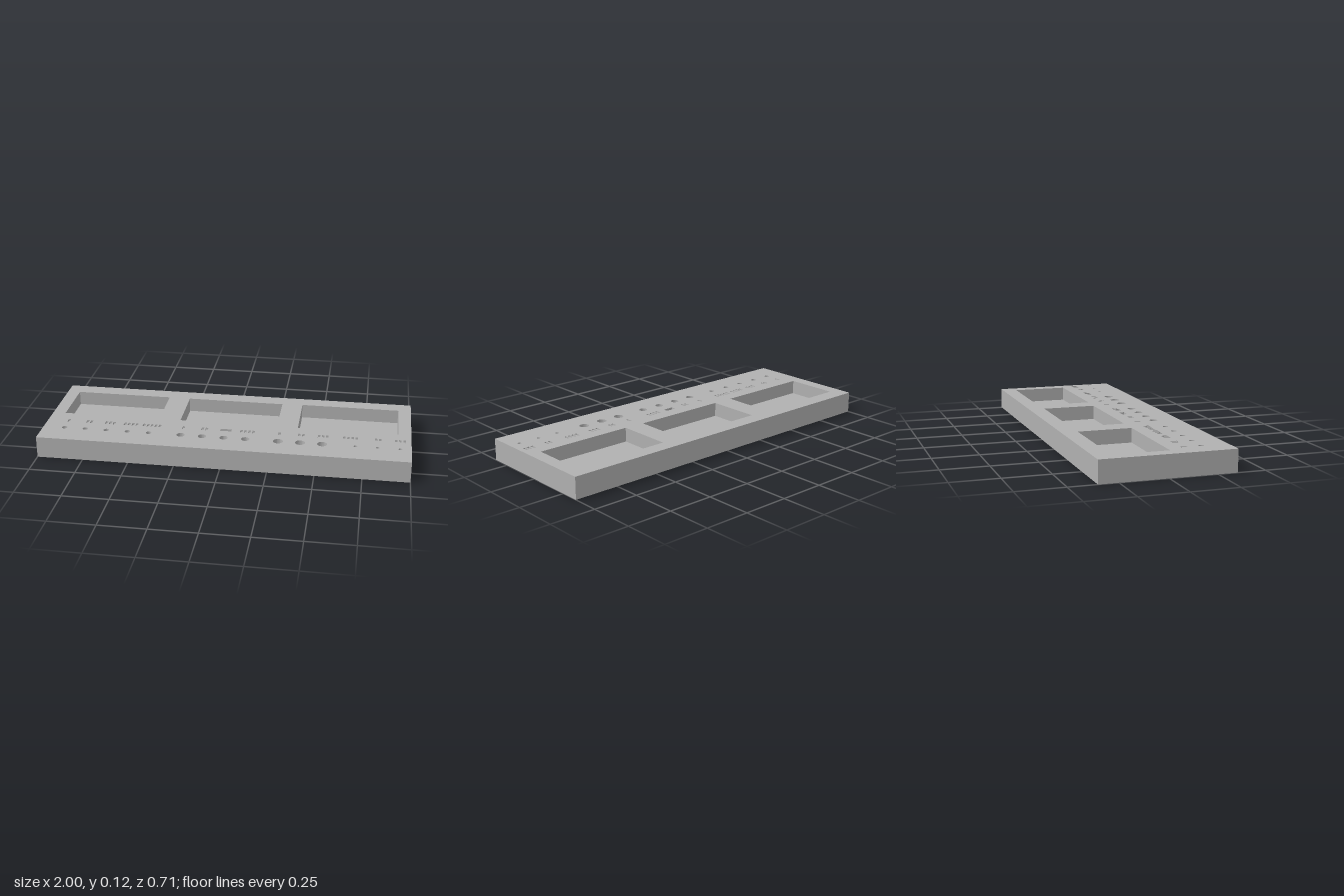
import * as THREE from 'three';
import { mergeGeometries } from 'three/addons/utils/BufferGeometryUtils.js';

const W = 1, D = 0.353, H = 0.118;

// Outlines are plan points (x, -z), counter-clockwise seen from above
const rect = (x0, x1, z0, z1) => [[x0, z1], [x1, z1], [x1, z0], [x0, z0]]
  .map(([x, z]) => new THREE.Vector2(x, -z));
const circle = (x, z, r, n = 20) => Array.from({ length: n }, (_, i) => {
  const a = (i / n) * Math.PI * 2;
  return new THREE.Vector2(x + r * Math.cos(a), r * Math.sin(a) - z);
});

// Flat horizontal face with holes, facing up or down
function cap(outline, holes, y, down = false) {
  const flip = (pts) => pts.map((p) => new THREE.Vector2(p.x, down ? -p.y : p.y));
  const shape = new THREE.Shape(flip(outline));
  shape.holes = holes.map((h) => new THREE.Path(flip(h)));
  return new THREE.ShapeGeometry(shape)
    .rotateX(down ? Math.PI / 2 : -Math.PI / 2).translate(0, y, 0).toNonIndexed();
}

// Vertical band along an outline, facing outward or inward
function wall(outline, y0, y1, inward = false) {
  const pts = inward ? [...outline].reverse() : outline;
  const pos = [], uv = [];
  pts.forEach((p, i) => {
    const q = pts[(i + 1) % pts.length];
    const a = [p.x, y0, -p.y], b = [q.x, y0, -q.y], c = [q.x, y1, -q.y], d = [p.x, y1, -p.y];
    pos.push(...a, ...b, ...c, ...a, ...c, ...d);
    uv.push(0, 0, 1, 0, 1, 1, 0, 0, 1, 1, 0, 1);
  });
  const g = new THREE.BufferGeometry();
  g.setAttribute('position', new THREE.Float32BufferAttribute(pos, 3));
  g.setAttribute('uv', new THREE.Float32BufferAttribute(uv, 2));
  g.computeVertexNormals();
  return g;
}

export function createModel() {
  const group = new THREE.Group();
  group.name = 'toolTray';
  const grey = new THREE.MeshStandardMaterial({ color: 0xb0b0b0 });
  grey.name = 'grey';
  const add = (name, geos) => {
    const mesh = new THREE.Mesh(mergeGeometries(geos), grey);
    mesh.name = name;
    group.add(mesh);
  };

  // Three rectangular pockets
  const pockets = [
    rect(-0.93, -0.39, -0.265, 0.03),
    rect(-0.27, 0.27, -0.265, 0.03),
    rect(0.385, 0.93, -0.272, 0.035),
  ];

  // Row of holes: start x, count, radius, whether it goes right through
  const pitch = 0.1176, holeZ = 0.211;
  const through = [], blind = [];
  const ticks = [];
  const tickRow = (x, n) => {
    for (let i = 0; i < n; i++) {
      const c = x + (i - (n - 1) / 2) * 0.022;
      ticks.push(rect(c - 0.0065, c + 0.0065, 0.104, 0.136));
    }
  };
  [
    [-0.882, 5, 0.015, true],
    [-0.235, 4, 0.0225, true],
    [0.294, 3, 0.0265, false],
    [0.706, 3, 0.0095, false],
  ].forEach(([x0, n, r, open], g) => {
    for (let i = 0; i < n; i++) {
      const x = x0 + i * pitch;
      (open ? through : blind).push(circle(x, holeZ, r));
      // Engraved size marks behind each hole
      if (g === 1 && i === 2) ticks.push(rect(x - 0.03, x + 0.03, 0.106, 0.134));
      else if (g === 3) tickRow(i === 0 ? x - 0.03 : x, [4, 2, 3][i]);
      else tickRow(x, i + 1);
    }
  });

  // Solid block skin
  const outer = rect(-W, W, -D, D);
  add('blockTop', [cap(outer, [...pockets, ...through, ...blind, ...ticks], H)]);
  add('blockSides', [wall(outer, 0, H)]);
  add('blockBottom', [cap(outer, through, 0, true)]);

  // Sunken features: walls plus floor
  const sink = (name, list, depth) => add(name, list.flatMap((o) => [
    wall(o, H - depth, H, true), cap(o, [], H - depth),
  ]));
  sink('pockets', pockets, 0.078);
  sink('blindHoles', blind, 0.078);
  sink('sizeMarks', ticks, 0.012);
  add('throughHoles', through.map((o) => wall(o, 0, H, true)));

  return group;
}
